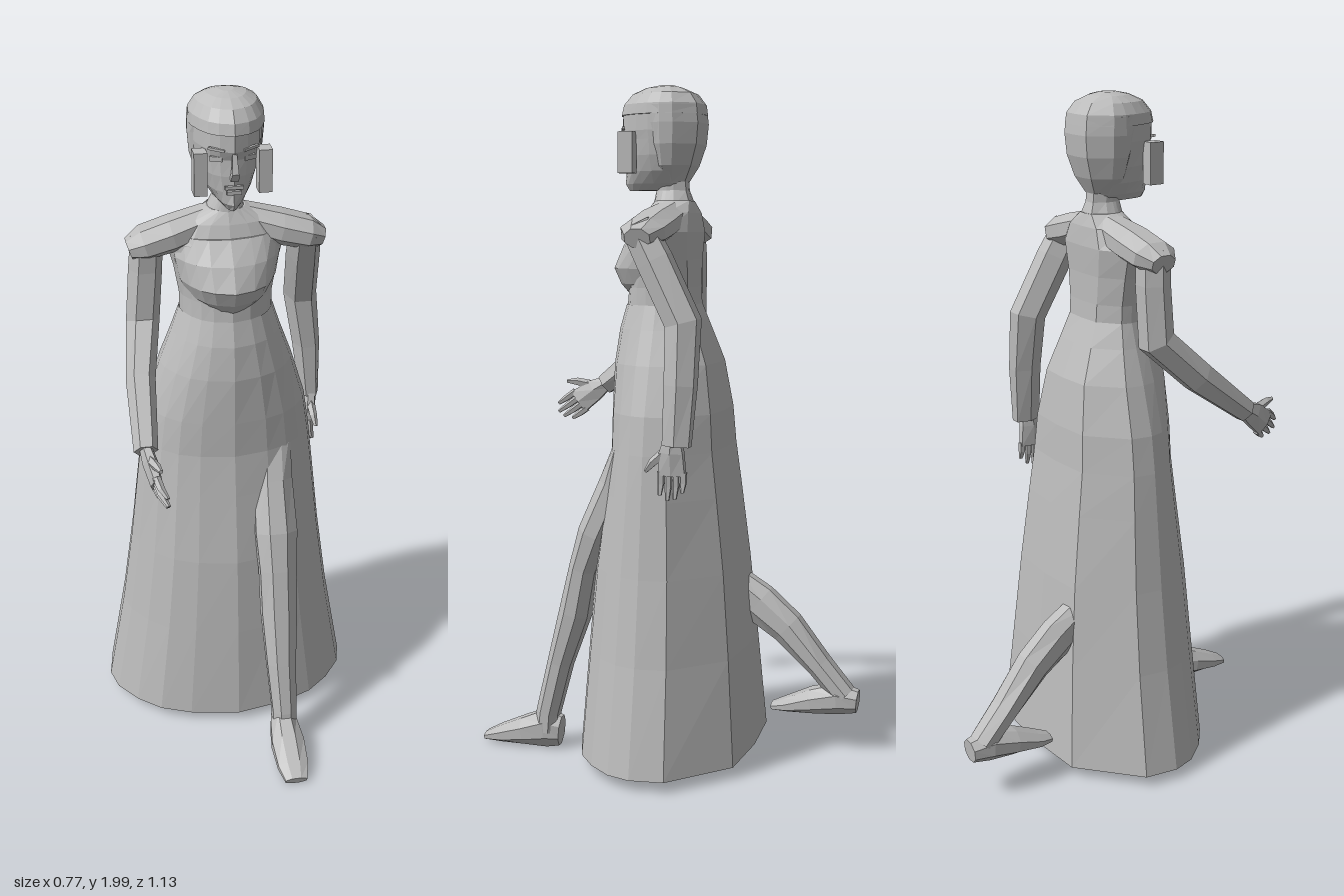
import * as THREE from 'three';

const stone = new THREE.MeshStandardMaterial({ color: 0xbcbcbc, flatShading: true, side: THREE.DoubleSide });
stone.name = 'stone grey';

const V = (x, y, z) => new THREE.Vector3(x, y, z);
const X = V(1, 0, 0), Z = V(0, 0, 1);

// Skin a list of equal-sized rings, optionally closing both ends
function loft(name, rings, capped = true) {
  const pos = [], n = rings[0].length;
  const tri = (...p) => p.forEach((q) => pos.push(q.x, q.y, q.z));
  for (let i = 0; i < rings.length - 1; i++) {
    for (let j = 0; j < n; j++) {
      const k = (j + 1) % n, a = rings[i], b = rings[i + 1];
      tri(a[j], a[k], b[k]);
      tri(a[j], b[k], b[j]);
    }
  }
  if (capped) {
    [rings[0], rings[rings.length - 1]].forEach((r, end) => {
      const c = r.reduce((s, p) => s.add(p), V(0, 0, 0)).divideScalar(n);
      for (let j = 0; j < n; j++) {
        const k = (j + 1) % n;
        if (end) tri(c, r[j], r[k]); else tri(c, r[k], r[j]);
      }
    });
  }
  const geo = new THREE.BufferGeometry();
  geo.setAttribute('position', new THREE.Float32BufferAttribute(pos, 3));
  geo.computeVertexNormals();
  const mesh = new THREE.Mesh(geo, stone);
  mesh.name = name;
  return mesh;
}

// Horizontal sections [y, halfWidth, zFront, zBack] with a mirrored outline
const HALF = [[0, 1], [0.39, 0.9], [0.63, 0.76], [0.81, 0.54], [0.95, 0.27], [1, 0], [0.96, -0.37], [0.52, -0.95], [0, -1]];
const OUTLINE = [...HALF, ...HALF.slice(1, -1).reverse().map(([x, z]) => [-x, z])];
function body(name, sections, capped = true) {
  return loft(name, sections.map(([y, w, f, b]) =>
    OUTLINE.map(([x, z]) => V(x * w, y, z > 0 ? z * f : -z * b))), capped);
}

// Tube along sections [x, y, z, radius along u, radius across u]
function limb(name, s, sides = 6, u = X) {
  const c = s.map((p) => V(p[0], p[1], p[2]));
  return loft(name, s.map((p, i) => {
    const t = c[Math.min(i + 1, c.length - 1)].clone().sub(c[Math.max(i - 1, 0)]);
    const v = u.clone().cross(t).normalize();
    return Array.from({ length: sides }, (_, j) => {
      const a = ((j + 0.5) / sides) * Math.PI * 2;
      return c[i].clone().addScaledVector(u, p[3] * Math.sin(a)).addScaledVector(v, p[4] * Math.cos(a));
    });
  }));
}

function box(name, w, h, d, x, y, z) {
  const m = new THREE.Mesh(new THREE.BoxGeometry(w, h, d), stone);
  m.name = name;
  m.position.set(x, y, z);
  return m;
}

// Hand hanging from its wrist, thumb towards +z
function hand(name) {
  const g = new THREE.Group();
  g.name = name;
  g.add(limb('palm', [[0, 0.02, 0, 0.018, 0.024], [0, -0.03, 0.005, 0.022, 0.04], [0, -0.095, 0.005, 0.017, 0.045]]));
  for (let i = 0; i < 4; i++) {
    const z = 0.038 - i * 0.022, len = [0.06, 0.075, 0.07, 0.05][i];
    g.add(limb('finger', [[0, -0.085, z, 0.012, 0.012], [0.004, -0.09 - len * 0.5, z, 0.011, 0.011], [0.014, -0.09 - len, z, 0.006, 0.006]], 5));
  }
  g.add(limb('thumb', [[0, -0.03, 0.025, 0.014, 0.016], [0.005, -0.06, 0.06, 0.012, 0.013], [0.01, -0.085, 0.08, 0.006, 0.006]], 5));
  return g;
}

function createHead() {
  const g = new THREE.Group();
  g.name = 'head';
  g.add(body('face', [
    [1.7, 0.025, 0.125, -0.02], [1.72, 0.045, 0.138, -0.04], [1.755, 0.07, 0.135, -0.05], [1.8, 0.085, 0.138, -0.06],
    [1.845, 0.092, 0.136, -0.07], [1.87, 0.095, 0.147, -0.07], [1.92, 0.095, 0.145, -0.07], [1.96, 0.08, 0.11, -0.06]]));
  // Smooth cap of hair with a fringe edge over the forehead
  g.add(body('hair back', [
    [1.725, 0.045, 0.01, -0.055], [1.77, 0.082, 0.03, -0.08], [1.83, 0.1, 0.05, -0.1],
    [1.89, 0.105, 0.07, -0.106], [1.94, 0.103, 0.1, -0.1]]));
  g.add(body('hair crown', [
    [1.915, 0.104, 0.15, -0.104], [1.945, 0.101, 0.142, -0.1], [1.975, 0.083, 0.115, -0.078],
    [1.992, 0.055, 0.075, -0.04], [2, 0.022, 0.035, -0.012]]));
  // Face details
  g.add(limb('nose', [[0, 1.865, 0.14, 0.008, 0.006], [0, 1.815, 0.15, 0.013, 0.014], [0, 1.795, 0.14, 0.016, 0.01]], 4));
  g.add(box('upper lip', 0.05, 0.009, 0.009, 0, 1.772, 0.137));
  g.add(box('lower lip', 0.04, 0.01, 0.009, 0, 1.758, 0.138));
  for (const s of [-1, 1]) {
    const eye = box('eye', 0.034, 0.013, 0.008, s * 0.045, 1.847, 0.118);
    eye.rotation.y = s * 0.4;
    const brow = box('brow', 0.045, 0.007, 0.008, s * 0.046, 1.876, 0.129);
    brow.rotation.set(0, s * 0.4, s * 0.12);
    g.add(eye, brow);
    g.add(box('side lock', 0.036, 0.118, 0.045, s * 0.087, 1.807, 0.103));
  }
  return g;
}

export function createModel() {
  const g = new THREE.Group();
  g.name = 'walking woman in a long gown';

  // Gown
  g.add(body('skirt', [
    [0.04, 0.385, 0.26, -0.27], [0.35, 0.33, 0.237, -0.245], [0.6, 0.295, 0.216, -0.222], [0.82, 0.27, 0.184, -0.195],
    [0.95, 0.255, 0.166, -0.178], [1.06, 0.238, 0.165, -0.17], [1.2, 0.195, 0.163, -0.148],
    [1.3, 0.158, 0.15, -0.11], [1.37, 0.135, 0.13, -0.083]], false));
  g.add(body('bodice', [
    [1.36, 0.133, 0.128, -0.083], [1.42, 0.134, 0.122, -0.08], [1.5, 0.148, 0.115, -0.08],
    [1.58, 0.17, 0.088, -0.085], [1.635, 0.13, 0.065, -0.08], [1.67, 0.055, 0.045, -0.07]]));
  g.add(body('bust', [
    [1.385, 0.06, 0.115, -0.02], [1.43, 0.12, 0.152, -0.02], [1.475, 0.142, 0.172, -0.02],
    [1.54, 0.155, 0.138, -0.02], [1.6, 0.15, 0.085, -0.02]]));
  g.add(body('neck', [[1.65, 0.06, 0.05, -0.075], [1.7, 0.037, 0.042, -0.057], [1.77, 0.037, 0.05, -0.052]]));
  for (const s of [-1, 1]) {
    g.add(limb(s > 0 ? 'leftShoulder' : 'rightShoulder', [
      [s * 0.05, 1.625, -0.012, 0.058, 0.045], [s * 0.15, 1.597, 0, 0.07, 0.05],
      [s * 0.23, 1.577, 0.005, 0.07, 0.046], [s * 0.272, 1.562, 0.008, 0.04, 0.03]], 8, Z));
  }
  g.add(createHead());

  // Left arm hangs back, right arm reaches forward
  g.add(limb('leftArm', [
    [0.222, 1.6, 0.025, 0.045, 0.05], [0.23, 1.5, -0.03, 0.05, 0.055], [0.245, 1.33, -0.118, 0.05, 0.055],
    [0.268, 1.16, -0.118, 0.042, 0.05], [0.28, 0.99, -0.11, 0.03, 0.045]]));
  g.add(limb('rightArm', [
    [-0.222, 1.6, 0.01, 0.045, 0.05], [-0.228, 1.5, 0.005, 0.048, 0.05], [-0.24, 1.34, 0.01, 0.048, 0.055],
    [-0.265, 1.22, 0.14, 0.042, 0.05], [-0.275, 1.09, 0.31, 0.034, 0.036]]));
  const leftHand = hand('leftHand');
  leftHand.position.set(0.28, 1.0, -0.1);
  leftHand.rotation.z = -0.06;
  const rightHand = hand('rightHand');
  rightHand.position.set(-0.272, 1.085, 0.32);
  rightHand.rotation.set(-0.92, 0, 0.15);
  g.add(leftHand, rightHand);

  // Left leg steps out of the skirt, right leg trails behind
  g.add(limb('leftLeg', [
    [0.125, 0.98, 0.095, 0.055, 0.025], [0.12, 0.84, 0.125, 0.062, 0.055], [0.12, 0.69, 0.192, 0.068, 0.055],
    [0.12, 0.58, 0.232, 0.06, 0.045], [0.12, 0.44, 0.262, 0.058, 0.05], [0.12, 0.28, 0.312, 0.048, 0.04],
    [0.125, 0.12, 0.352, 0.04, 0.038], [0.125, 0.06, 0.358, 0.04, 0.04]], 8));
  g.add(limb('leftFoot', [
    [0.122, 0.06, 0.312, 0.03, 0.05], [0.122, 0.065, 0.36, 0.044, 0.062], [0.122, 0.05, 0.43, 0.054, 0.045],
    [0.122, 0.032, 0.51, 0.05, 0.027], [0.122, 0.02, 0.56, 0.036, 0.013]], 8));
  g.add(limb('rightLeg', [
    [-0.12, 0.52, -0.16, 0.045, 0.05], [-0.12, 0.45, -0.25, 0.046, 0.064], [-0.122, 0.38, -0.34, 0.05, 0.055],
    [-0.125, 0.27, -0.44, 0.05, 0.04], [-0.125, 0.18, -0.518, 0.046, 0.038]], 8));
  g.add(limb('rightFoot', [
    [-0.125, 0.165, -0.56, 0.035, 0.036], [-0.125, 0.17, -0.5, 0.05, 0.05], [-0.125, 0.155, -0.42, 0.055, 0.04],
    [-0.125, 0.135, -0.34, 0.05, 0.022], [-0.125, 0.125, -0.295, 0.032, 0.012]], 8));
  return g;
}
